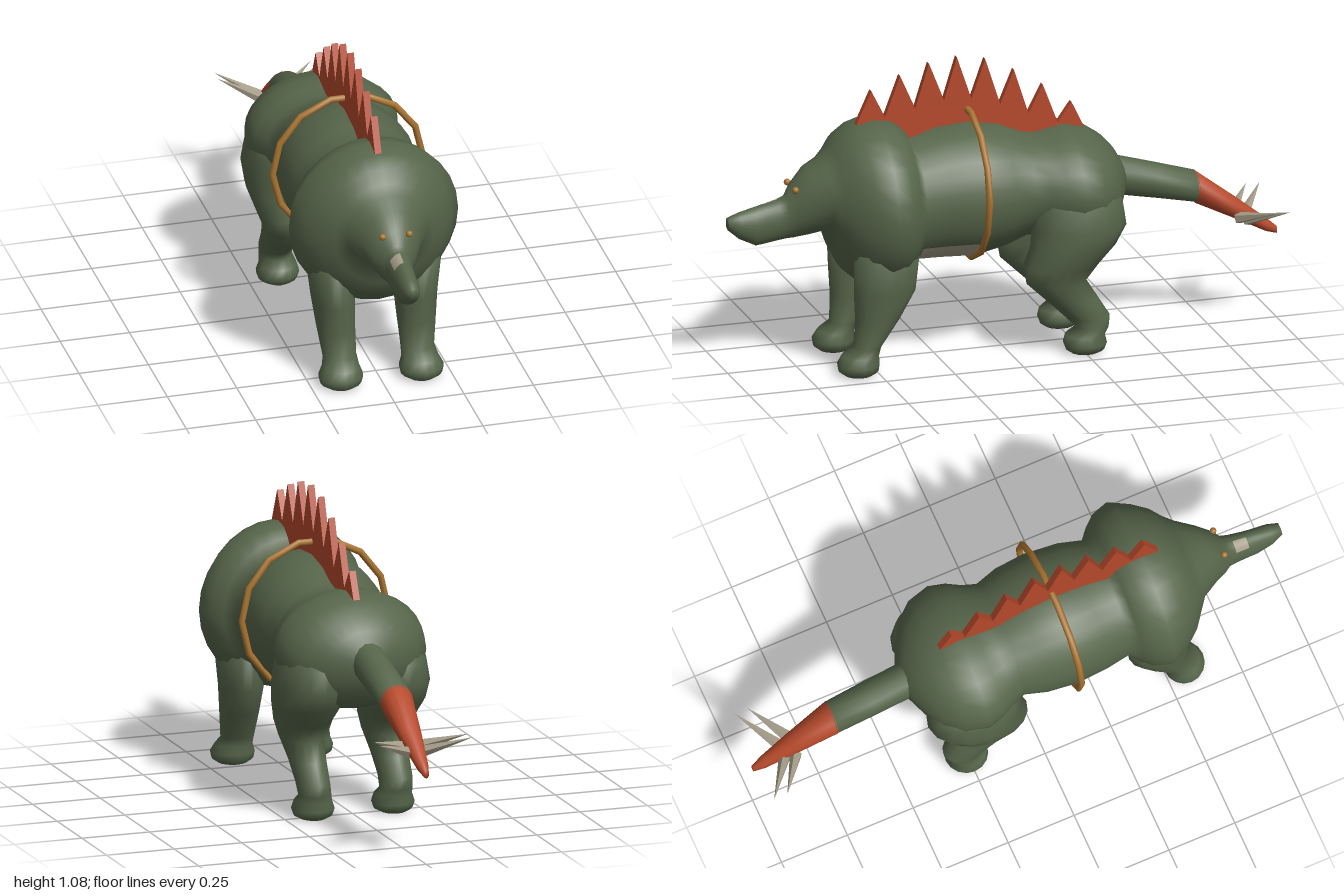
import * as THREE from 'three';

const material = (name, color, side = THREE.FrontSide) => {
  const m = new THREE.MeshStandardMaterial({ color, side });
  m.name = name;
  return m;
};

// Loft of elliptical rings [z, top, bottom, halfWidth, centreX], listed from +z to -z.
// patch(z, angle) picks faces that take the second material.
function loft(rows, sides, patch = () => false) {
  const pos = [], plain = [], patched = [];
  for (const [z, top, bottom, rx, x = 0] of rows) {
    for (let j = 0; j < sides; j++) {
      const a = (j / sides) * Math.PI * 2;
      pos.push(x + Math.cos(a) * rx, (top + bottom) / 2 + Math.sin(a) * (top - bottom) / 2, z);
    }
  }
  for (let i = 0; i < rows.length - 1; i++) {
    for (let j = 0; j < sides; j++) {
      const k = (j + 1) % sides, a = i * sides + j, b = i * sides + k;
      const zMid = (rows[i][0] + rows[i + 1][0]) / 2;
      const list = patch(zMid, ((j + 0.5) / sides) * Math.PI * 2) ? patched : plain;
      list.push(a, a + sides, b, b, a + sides, b + sides);
    }
  }
  // End caps
  const last = rows.length - 1;
  [0, last].forEach((i) => {
    const [z, top, bottom, , x = 0] = rows[i];
    const centre = pos.length / 3;
    pos.push(x, (top + bottom) / 2, z);
    for (let j = 0; j < sides; j++) {
      const a = i * sides + j, b = i * sides + (j + 1) % sides;
      if (i === 0) plain.push(centre, a, b);
      else plain.push(centre, b, a);
    }
  });
  const geo = new THREE.BufferGeometry();
  geo.setAttribute('position', new THREE.Float32BufferAttribute(pos, 3));
  geo.setIndex([...plain, ...patched]);
  geo.addGroup(0, plain.length, 0);
  geo.addGroup(plain.length, patched.length, 1);
  geo.computeVertexNormals();
  return geo;
}

// Leg of horizontal rings [height, z, halfWidth, halfDepth, x], listed downwards.
function legGeometry(rows, side) {
  const rings = rows.map(([y, z, rx, rz, x]) => [y, -z + rz, -z - rz, rx, x * side]);
  return loft(rings, 16).rotateX(-Math.PI / 2);
}

export function createModel() {
  const model = new THREE.Group();
  const green = material('green hide', 0x56654a);
  const red = material('red crest', 0xb5492b);
  const ochre = material('ochre', 0xa9732f);
  const bone = material('bone', 0xa59c88);
  const add = (name, geo, mat) => {
    const mesh = new THREE.Mesh(geo, mat);
    mesh.name = name;
    model.add(mesh);
    return mesh;
  };

  // Head, shoulders, belly and hips in one skin
  const bodyRows = [
    [1.0, 0.57, 0.525, 0.022], [0.96, 0.585, 0.49, 0.035], [0.9, 0.6, 0.46, 0.04],
    [0.87, 0.607, 0.464, 0.042], [0.82, 0.62, 0.472, 0.047], [0.79, 0.632, 0.476, 0.053],
    [0.765, 0.675, 0.478, 0.075], [0.715, 0.73, 0.485, 0.105], [0.655, 0.757, 0.5, 0.145],
    [0.625, 0.79, 0.41, 0.18], [0.59, 0.835, 0.345, 0.225], [0.54, 0.865, 0.3, 0.265],
    [0.47, 0.88, 0.285, 0.305], [0.41, 0.87, 0.295, 0.285], [0.37, 0.84, 0.32, 0.25],
    [0.34, 0.8, 0.36, 0.215], [0.25, 0.83, 0.36, 0.235], [0.13, 0.84, 0.355, 0.245],
    [0.02, 0.82, 0.38, 0.235], [-0.06, 0.785, 0.41, 0.212], [-0.11, 0.775, 0.41, 0.232],
    [-0.16, 0.785, 0.4, 0.26], [-0.22, 0.795, 0.39, 0.275], [-0.3, 0.775, 0.39, 0.255],
    [-0.36, 0.735, 0.41, 0.205], [-0.4, 0.69, 0.46, 0.14], [-0.435, 0.63, 0.52, 0.06],
  ];
  const palePatch = (z, a) =>
    (z > 0.13 && z < 0.34 && Math.sin(a) < -0.62) ||                // belly
    (z > 0.82 && z < 0.87 && a > Math.PI / 2 && a < Math.PI * 0.8); // snout mark
  add('body', loft(bodyRows, 28, palePatch), [green, bone]);

  // Legs
  const frontRows = [
    [0.45, 0.47, 0.08, 0.12, 0.16], [0.3, 0.475, 0.075, 0.112, 0.148], [0.2, 0.5, 0.068, 0.08, 0.145],
    [0.1, 0.535, 0.06, 0.047, 0.14], [0.07, 0.562, 0.066, 0.065, 0.143], [0.04, 0.57, 0.079, 0.074, 0.145],
    [0.015, 0.57, 0.073, 0.07, 0.145], [0, 0.57, 0.05, 0.05, 0.145],
  ];
  const hindRows = [
    [0.62, -0.22, 0.09, 0.13, 0.15], [0.55, -0.225, 0.115, 0.165, 0.153], [0.47, -0.23, 0.125, 0.172, 0.155],
    [0.4, -0.21, 0.118, 0.152, 0.155], [0.33, -0.165, 0.095, 0.135, 0.155], [0.27, -0.148, 0.075, 0.107, 0.153],
    [0.2, -0.207, 0.063, 0.092, 0.152], [0.13, -0.265, 0.058, 0.078, 0.152], [0.09, -0.28, 0.058, 0.058, 0.15],
    [0.065, -0.255, 0.066, 0.07, 0.148], [0.035, -0.255, 0.076, 0.077, 0.148],
    [0.012, -0.255, 0.068, 0.068, 0.148], [0, -0.255, 0.045, 0.05, 0.148],
  ];
  for (const s of [1, -1]) {
    const label = s > 0 ? 'left' : 'right';
    add(label + 'FrontLeg', legGeometry(frontRows, s), green);
    add(label + 'HindLeg', legGeometry(hindRows, s), green);

    // Eyes
    add(label + 'Eye', new THREE.SphereGeometry(0.012, 10, 8), ochre).position.set(s * 0.048, 0.663, 0.768);

    // Tail spikes
    const spikes = [
      [[0.035, 0.39, -0.85], [0.175, 0.44, -0.945]],
      [[0.02, 0.375, -0.885], [0.175, 0.44, -0.995]],
    ];
    for (const [base, tip] of spikes) {
      const a = new THREE.Vector3(...base), b = new THREE.Vector3(...tip);
      a.x *= s;
      b.x *= s;
      const dir = b.clone().sub(a);
      const geo = new THREE.ConeGeometry(0.022, dir.length(), 5).toNonIndexed();
      geo.computeVertexNormals();
      const spike = add(label + 'TailSpike', geo, bone);
      spike.position.copy(a).add(b).multiplyScalar(0.5);
      spike.quaternion.setFromUnitVectors(new THREE.Vector3(0, 1, 0), dir.normalize());
    }
  }

  // Tail
  add('tail', loft([[-0.36, 0.675, 0.51, 0.063], [-0.43, 0.65, 0.51, 0.063], [-0.56, 0.612, 0.485, 0.063],
    [-0.705, 0.568, 0.455, 0.06]], 14), green);
  add('tailTip', loft([[-0.7, 0.571, 0.452, 0.061], [-0.85, 0.457, 0.377, 0.04], [-0.96, 0.37, 0.32, 0.022],
    [-1, 0.335, 0.308, 0.01]], 14), red);

  // Saw-toothed crest: alternating tips and valleys [z, y]
  const outline = [
    [0.535, 0.865], [0.48, 0.985], [0.43, 0.885], [0.375, 1.03], [0.32, 0.905], [0.27, 1.065], [0.215, 0.925],
    [0.168, 1.077], [0.115, 0.92], [0.065, 1.06], [0.01, 0.89], [-0.04, 1.01], [-0.093, 0.845],
    [-0.145, 0.945], [-0.2, 0.8], [-0.25, 0.87], [-0.295, 0.775], [-0.25, 0.74], [-0.05, 0.74], [0.45, 0.75],
  ];
  const crestShape = new THREE.Shape(outline.map(([z, y]) => new THREE.Vector2(-z, y)));
  const crest = new THREE.ExtrudeGeometry(crestShape, { depth: 0.024, bevelEnabled: false });
  crest.translate(0, 0, -0.012).rotateY(Math.PI / 2);
  add('crest', crest, red);

  // Girth band
  const band = add('girthBand', new THREE.TorusGeometry(0.27, 0.012, 8, 14), ochre);
  band.position.set(0, 0.62, 0.13);
  return model;
}
